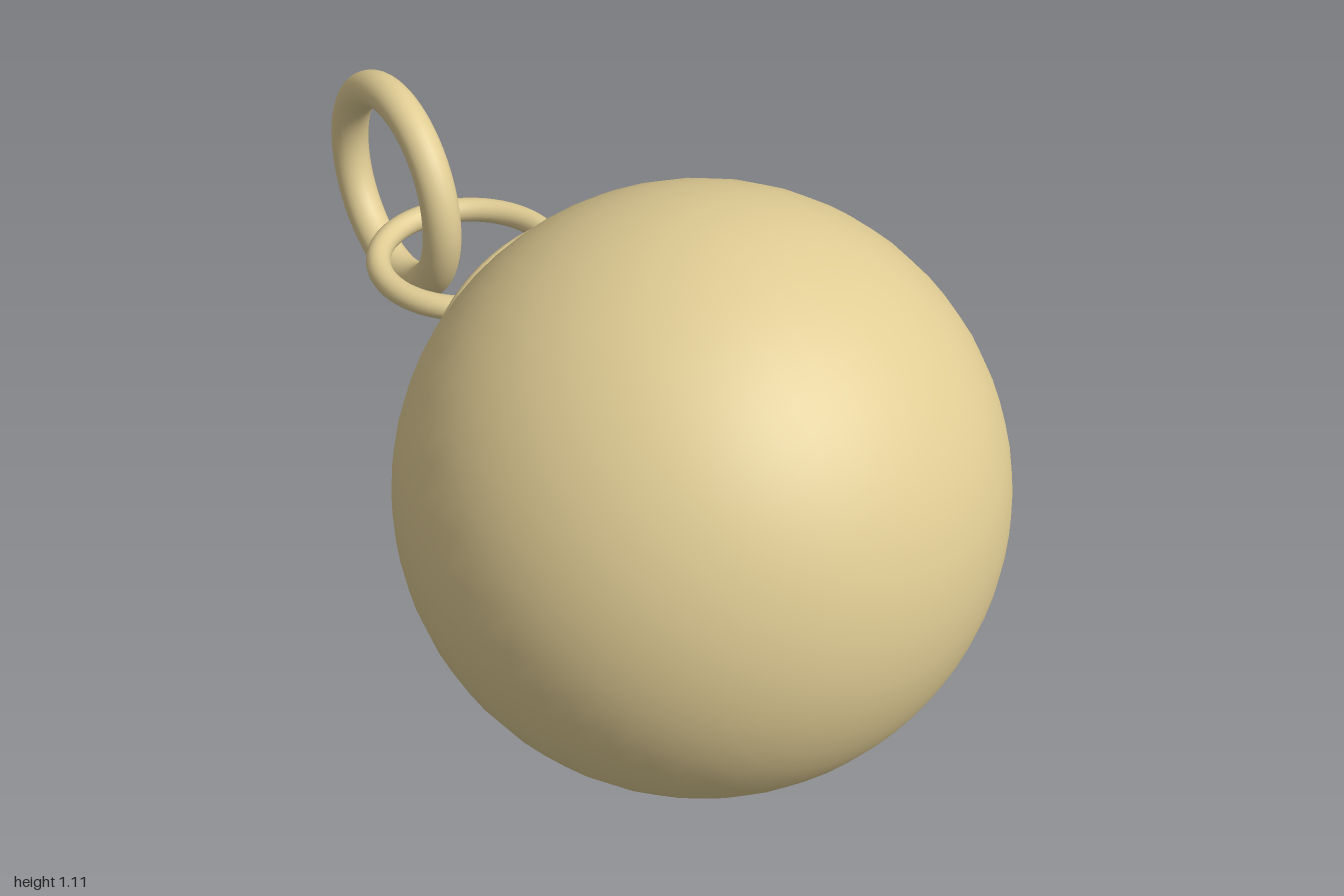
import * as THREE from 'three';

export function createModel() {
  const group = new THREE.Group();
  const material = new THREE.MeshStandardMaterial({ color: 0xe0cc94 });
  const centreY = 0.56;

  const add = (name, geometry, z) => {
    const mesh = new THREE.Mesh(geometry, material);
    mesh.name = name;
    mesh.position.set(0, centreY, z);
    group.add(mesh);
    return mesh;
  };

  // Ball, poles along z
  add('ball', new THREE.SphereGeometry(0.555, 48, 32).rotateX(Math.PI / 2), 0.445);

  // Domed cap: spline profile of radius against distance behind the origin
  const profile = new THREE.SplineCurve([
    [0.262, 0.03], [0.272, 0.05], [0.283, 0.058], [0.286, 0.068], [0.28, 0.079],
    [0.258, 0.09], [0.21, 0.115], [0.15, 0.137], [0.08, 0.152], [0, 0.157],
  ].map(([r, d]) => new THREE.Vector2(r, d)));
  const points = profile.getPoints(40);
  points[points.length - 1].x = 0;
  add('cap', new THREE.LatheGeometry(points, 64).rotateX(-Math.PI / 2), 0);

  // Neck: rounded flat sections [z, half width, half height, end notch]
  const sections = [
    [-0.13, 0.18, 0.095, 0], [-0.15, 0.135, 0.07, 0], [-0.16, 0.113, 0.05, 0],
    [-0.172, 0.093, 0.036, 0], [-0.187, 0.08, 0.027, 0], [-0.205, 0.075, 0.024, 0],
    [-0.222, 0.08, 0.023, 0.05], [-0.24, 0.094, 0.022, 0.15],
    [-0.252, 0.105, 0.019, 0.3], [-0.258, 0.108, 0.011, 0.38], [-0.26, 0.108, 0.001, 0.4],
  ];
  const sides = 40;
  const positions = [];
  const indices = [];
  const round = (v) => Math.sign(v) * Math.abs(v) ** 0.65;
  sections.forEach(([z, w, h, notch], i) => {
    for (let j = 0; j < sides; j++) {
      const a = (j / sides) * Math.PI * 2;
      const x = w * round(Math.cos(a));
      positions.push(x, h * round(Math.sin(a)), z - notch * Math.abs(x));
      if (i === 0) continue;
      const k = (j + 1) % sides;
      const p = (i - 1) * sides;
      const q = i * sides;
      indices.push(p + j, q + j, p + k, p + k, q + j, q + k);
    }
  });
  const neck = new THREE.BufferGeometry();
  neck.setAttribute('position', new THREE.Float32BufferAttribute(positions, 3));
  neck.setIndex(indices);
  // Sections advance towards -z, so reverse the winding to face outward
  for (let i = 0; i < indices.length; i += 3) {
    const index = neck.index;
    const b = index.getX(i + 1);
    index.setX(i + 1, index.getX(i + 2));
    index.setX(i + 2, b);
  }
  neck.computeVertexNormals();
  add('neck', neck, 0);

  // Flat eyelet and the upright ring linked through it
  add('eyelet', new THREE.TorusGeometry(0.182, 0.025, 20, 64).rotateX(Math.PI / 2), -0.425);
  add('linkRing', new THREE.TorusGeometry(0.211, 0.04, 24, 64).rotateY(Math.PI / 2), -0.747);

  return group;
}
